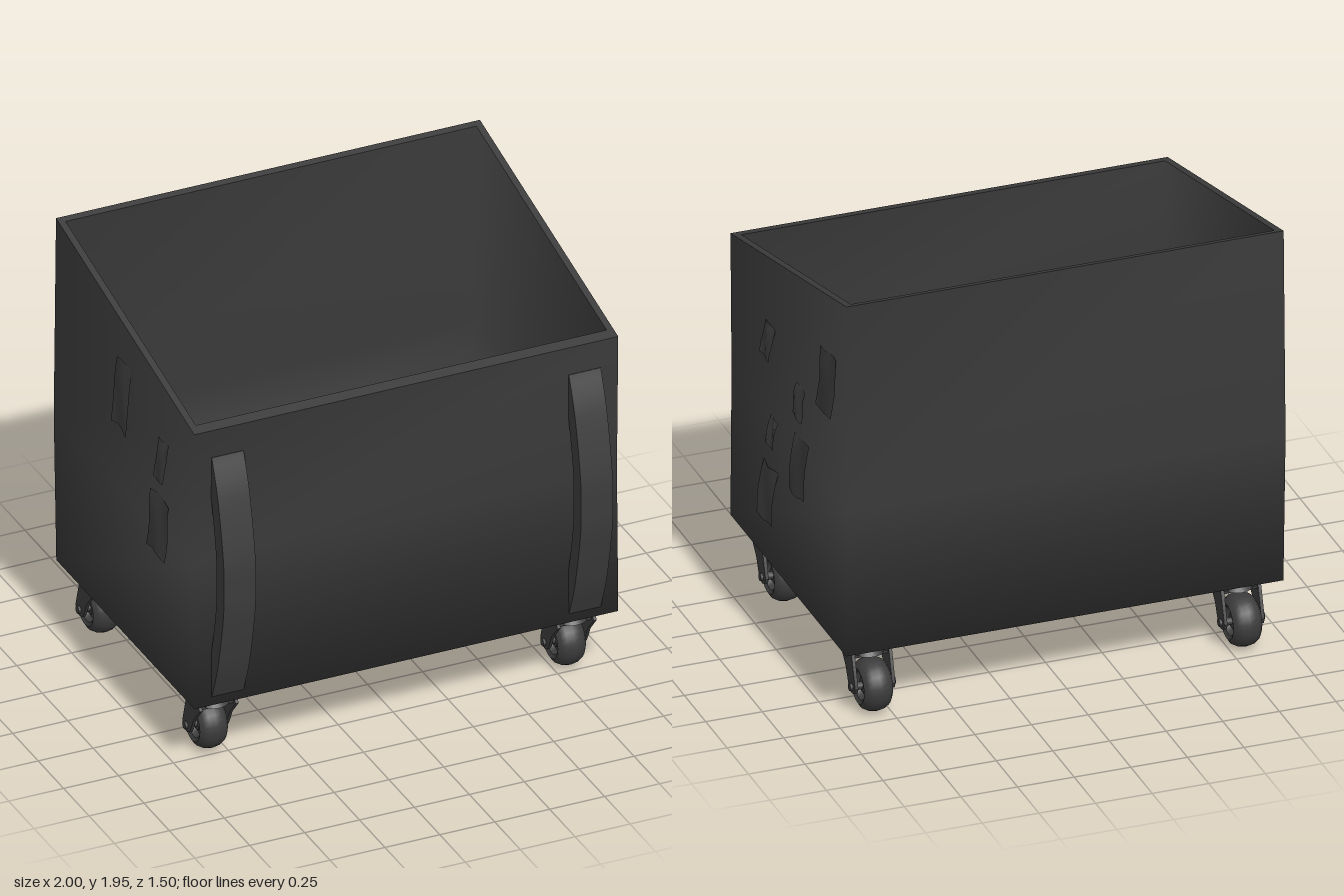
import * as THREE from 'three';
import { toCreasedNormals } from 'three/addons/utils/BufferGeometryUtils.js';

const mat = new THREE.MeshStandardMaterial({ color: 0x3c3c3c });
const sheetMat = new THREE.MeshStandardMaterial({ color: 0x3c3c3c, side: THREE.DoubleSide });

function add(parent, name, geometry, material = mat) {
  const mesh = new THREE.Mesh(geometry, material);
  mesh.name = name;
  parent.add(mesh);
  return mesh;
}

// Four-cornered section: half width, front z and y, back z and y
const ring = (x, zf, yf, zb, yb) => [[-x, yf, zf], [x, yf, zf], [x, yb, zb], [-x, yb, zb]];

// Joins sections into a smooth skin, closed at the first or last one by cap
function skin(rings, cap) {
  const index = [];
  for (let i = 0; i < rings.length - 1; i++) {
    for (let j = 0; j < 4; j++) {
      const a = i * 4 + j, b = i * 4 + (j + 1) % 4;
      index.push(a, b, b + 4, a, b + 4, a + 4);
    }
  }
  const last = (rings.length - 1) * 4;
  if (cap === 'first') index.push(0, 3, 2, 0, 2, 1);
  if (cap === 'last') index.push(last, last + 1, last + 2, last, last + 2, last + 3);
  const geo = new THREE.BufferGeometry();
  geo.setAttribute('position', new THREE.Float32BufferAttribute(rings.flat(2), 3));
  geo.setIndex(index);
  geo.computeVertexNormals();
  return geo;
}

// Side profile in (z, y) extruded across x, centred
function slab(shape, width, bevel = 0) {
  const geo = new THREE.ExtrudeGeometry(shape, {
    depth: width - 2 * bevel, bevelEnabled: bevel > 0, bevelSize: bevel,
    bevelThickness: bevel, bevelOffset: -bevel, bevelSegments: 2, curveSegments: 8,
  });
  geo.translate(0, 0, -(width - 2 * bevel) / 2);
  geo.rotateY(-Math.PI / 2);
  return toCreasedNormals(geo, 0.6);
}

const vec = (pts) => pts.map(([a, b]) => new THREE.Vector2(a, b));

// Bowed strap handle
function handleGeometry() {
  const shape = new THREE.Shape();
  shape.moveTo(0.61, 1.5);
  shape.lineTo(0.63, 1.5);
  shape.splineThru(vec([[0.69, 1.33], [0.742, 1.08], [0.75, 0.93], [0.742, 0.78], [0.69, 0.53], [0.63, 0.36]]));
  shape.lineTo(0.61, 0.36);
  shape.lineTo(0.61, 0.5);
  shape.splineThru(vec([[0.64, 0.63], [0.67, 0.79], [0.677, 0.93], [0.67, 1.07], [0.64, 1.23], [0.61, 1.36]]));
  return slab(shape, 0.145);
}

// Swivel caster: origin on the stem axis, wheel trailing to the back
function makeCaster() {
  const g = new THREE.Group();
  g.name = 'caster';
  add(g, 'mountPlate', new THREE.BoxGeometry(0.23, 0.016, 0.23)).position.y = 0.314;
  add(g, 'swivelPlate', new THREE.CylinderGeometry(0.08, 0.07, 0.018, 20)).position.y = 0.298;
  add(g, 'stem', new THREE.CylinderGeometry(0.022, 0.022, 0.04, 12)).position.y = 0.275;
  add(g, 'forkCrown', new THREE.CylinderGeometry(0.055, 0.075, 0.025, 20)).position.y = 0.262;

  // Fork legs lean back to the axle
  const leg = new THREE.Shape(vec([[0.07, 0.25], [0.055, 0.275], [-0.05, 0.275], [-0.06, 0.26], [-0.1, 0.125],
    [-0.09, 0.1], [-0.06, 0.09], [-0.03, 0.1], [-0.015, 0.125], [0.01, 0.18]]));
  add(g, 'forkBridge', new THREE.BoxGeometry(0.17, 0.012, 0.1)).position.y = 0.25;
  for (const s of [-1, 1]) add(g, 'forkLeg', slab(leg, 0.014)).position.x = s * 0.082;

  const axle = add(g, 'axle', new THREE.CylinderGeometry(0.017, 0.017, 0.2, 12));
  axle.rotation.z = Math.PI / 2;
  axle.position.set(0, 0.12, -0.06);

  // Rounded tyre with recessed hub
  const profile = vec([[0.001, -0.045], [0.03, -0.045], [0.035, -0.03], [0.055, -0.03], [0.062, -0.055],
    [0.078, -0.064], [0.098, -0.052], [0.111, -0.03], [0.116, 0]]);
  const mirrored = profile.slice(0, -1).reverse().map((p) => new THREE.Vector2(p.x, -p.y));
  const wheel = add(g, 'wheel', toCreasedNormals(new THREE.LatheGeometry([...profile, ...mirrored], 28), 0.7));
  wheel.rotation.z = Math.PI / 2;
  wheel.position.set(0, 0.12, -0.06);
  return g;
}

// Torn sheet hanging from its top edge, curling off the side wall
function sheetGeometry(side, z0, z1, y0, y1, seed) {
  const geo = new THREE.PlaneGeometry(1, 1, 5, 5);
  const p = geo.attributes.position;
  for (let i = 0; i < p.count; i++) {
    const u = p.getX(i), v = p.getY(i), t = 0.5 - v;
    const wobble = 0.04 * Math.sin(seed * 2.3 + 5 * v) + 0.03 * Math.sin(seed + 9 * u);
    const x = 0.969 + 0.026 * Math.pow(t, 0.7) + 0.004 * Math.sin(seed + 6 * u + 4 * v);
    const z = (z0 + z1) / 2 + (z1 - z0) * (-side * u * 0.95 + wobble);
    const y = (y0 + y1) / 2 + (y1 - y0) * (v * 0.96 + 0.03 * Math.sin(seed * 3 + 5 * u));
    p.setXYZ(i, side * Math.min(x, 1), y, z);
  }
  geo.computeVertexNormals();
  return geo;
}

export function createModel() {
  const model = new THREE.Group();
  model.name = 'rollingBin';

  // Open bin with a rim sloping up to the back
  const outerTop = ring(0.965, 0.63, 1.63, -0.73, 1.95);
  const innerTop = ring(0.935, 0.58, 1.642, -0.70, 1.943);
  add(model, 'binOuter', skin([
    ring(0.965, 0.63, 0.32, -0.727, 0.32),
    ring(0.965, 0.617, 1.0, -0.752, 1.0),
    outerTop,
  ], 'first'));
  add(model, 'binRim', skin([outerTop, innerTop]));
  add(model, 'binInner', skin([
    innerTop,
    ring(0.935, 0.575, 1.0, -0.712, 1.0),
    ring(0.935, 0.58, 0.36, -0.69, 0.36),
  ], 'last'));

  // Handles and casters
  for (const s of [-1, 1]) {
    add(model, 'handle', handleGeometry()).position.x = s * 0.813;
    for (const z of [0.48, -0.57]) {
      const caster = makeCaster();
      caster.position.set(s * 0.815, 0, z);
      model.add(caster);
    }
  }

  // Sheets: side, z range, y range
  const sheets = [
    [1, 0.10, 0.21, 1.29, 1.44],
    [1, -0.635, -0.44, 1.365, 1.645],
    [1, -0.275, -0.155, 1.185, 1.325],
    [1, -0.31, -0.125, 0.82, 1.09],
    [1, 0.06, 0.145, 0.9, 1.025],
    [1, 0.07, 0.24, 0.53, 0.78],
    [-1, -0.13, 0.03, 1.31, 1.62],
    [-1, 0.29, 0.39, 1.26, 1.45],
    [-1, 0.22, 0.4, 0.9, 1.17],
  ];
  sheets.forEach((s, i) => add(model, 'sheet', sheetGeometry(...s, i + 1), sheetMat));
  return model;
}
